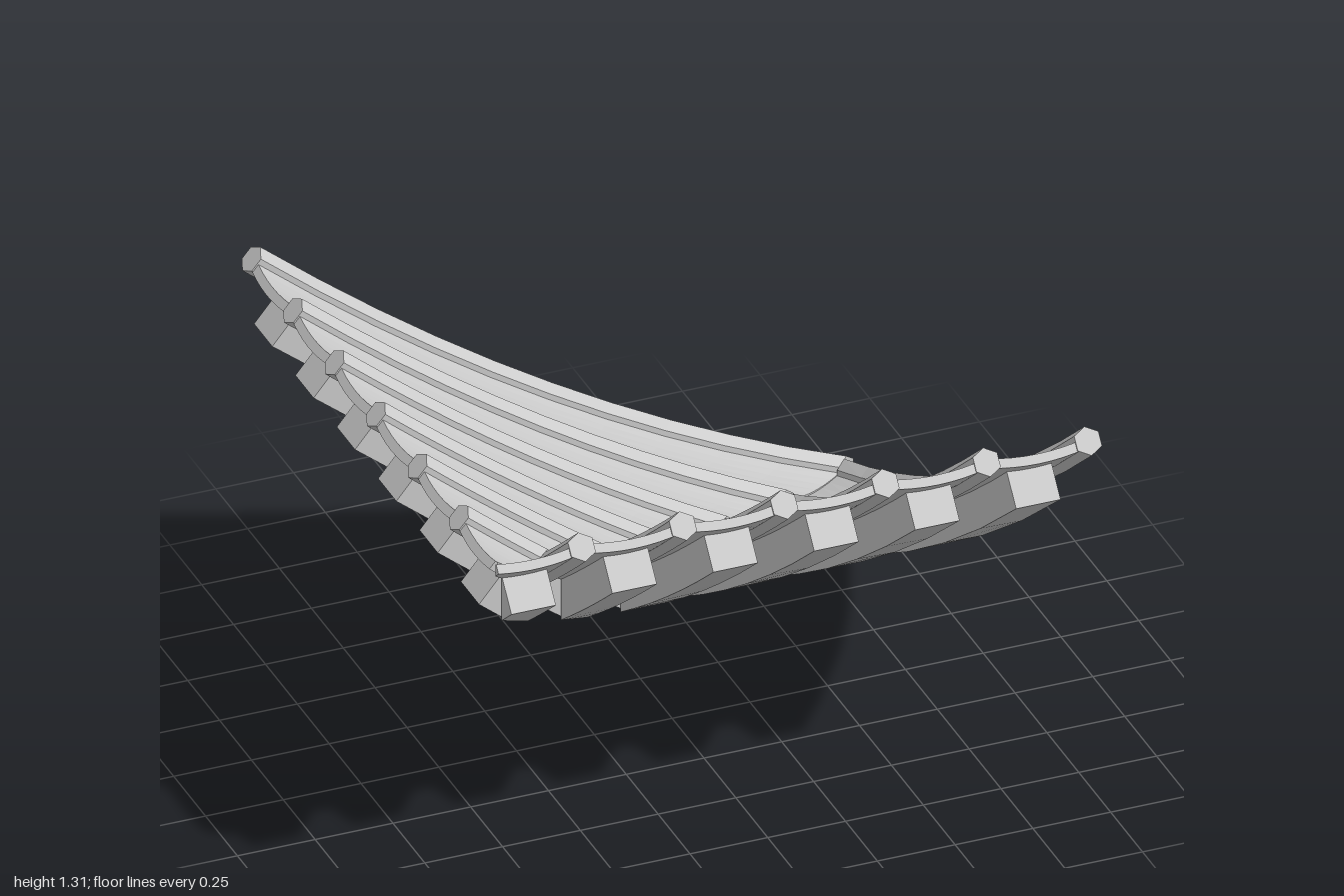
import * as THREE from 'three';

const PITCH = 0.3255, LAST_RIB = 0.946, RIBS = 6;

// Roof slope: height and upward normal at distance s from the corner
const height = s => 0.106 + 0.49 * (s + 0.97) + 0.1222 * (s + 0.97) * (s - 0.03);
function normal(s) {
  const slope = 0.49 + 0.1222 * (2 * s + 0.94);
  const len = Math.hypot(slope, 1);
  return { z: -slope / len, y: 1 / len };
}

// Sweeps a section of [x, offset from slope] points down the slope, mitred at the valley z = -x.
// Section order: upper side left to right, then lower side right to left.
function sweep(section, eave, steps, mirrored) {
  const rings = [];
  const ends = section.map(([x, o]) => {
    let s = -x;
    for (let k = 0; k < 8; k++) s = -x - o * normal(s).z;
    return Math.min(s, eave - 0.001);
  });
  for (let j = 0; j <= steps; j++) {
    rings.push(section.map(([x, o], i) => {
      const s = eave + (ends[i] - eave) * j / steps;
      const n = normal(s), y = height(s) + o * n.y, z = s + o * n.z;
      return mirrored ? [-z + 0.012, y, -x - 0.012] : [x, y, z];
    }));
  }
  const pos = [];
  const tri = (a, b, c) => pos.push(...a, ...(mirrored ? c : b), ...(mirrored ? b : c));
  const quad = (a, b, c, d) => { tri(a, b, c); tri(a, c, d); };
  const m = section.length;
  for (let j = 0; j < steps; j++) {
    for (let i = 0; i < m; i++) {
      const k = (i + 1) % m;
      quad(rings[j][i], rings[j][k], rings[j + 1][k], rings[j + 1][i]);
    }
  }
  // End caps
  const first = rings[0], last = rings[steps];
  for (let i = 0; i < m / 2 - 1; i++) {
    quad(first[i], first[m - 1 - i], first[m - 2 - i], first[i + 1]);
    quad(last[i], last[i + 1], last[m - 2 - i], last[m - 1 - i]);
  }
  const geo = new THREE.BufferGeometry();
  geo.setAttribute('position', new THREE.Float32BufferAttribute(pos, 3));
  geo.computeVertexNormals();
  return geo;
}

// Six-sided rib with a pointed top
function ribSection(x) {
  const r = 0.045, h = r * 0.866;
  return [[x - h, r / 2], [x, r], [x + h, r / 2], [x + h, -r / 2], [x, -r], [x - h, -r / 2]];
}

// Sagging tile sheet between two ribs
function sheetSection(x0) {
  const top = [], from = Math.max(x0, -0.955), to = x0 + PITCH, cols = 8;
  for (let i = 0; i <= cols; i++) {
    const x = from + (to - from) * i / cols;
    const t = 2 * (x - x0) / PITCH - 1;
    top.push([x, -0.006 + 0.018 * t * t]);
  }
  return [...top, ...top.map(([x, o]) => [x, o - 0.03]).reverse()];
}

// Rectangular rafter under the sheet
function rafterSection(x) {
  const w = 0.0715;
  return [[x - w, -0.025], [x + w, -0.025], [x + w, -0.145], [x - w, -0.145]];
}

export function createModel() {
  const model = new THREE.Group();
  model.name = 'valleyRoofCorner';
  const material = new THREE.MeshStandardMaterial({ color: 0xcccccc, flatShading: true });

  for (const mirrored of [false, true]) {
    const half = new THREE.Group();
    half.name = mirrored ? 'rightRoofSlope' : 'frontRoofSlope';
    const add = (name, geo) => {
      const mesh = new THREE.Mesh(geo, material);
      mesh.name = name;
      half.add(mesh);
    };
    for (let i = 0; i < RIBS; i++) {
      const x = LAST_RIB - i * PITCH;
      add('rib', sweep(ribSection(x), 0.967, 10, mirrored));
      add('tileSheet', sweep(sheetSection(x - PITCH), 0.963, 10, mirrored));
      add('rafter', sweep(rafterSection(0.7725 - i * 0.3245), 0.908, 6, mirrored));
    }
    model.add(half);
  }

  // Stand on the ground, centred
  const box = new THREE.Box3().setFromObject(model);
  const c = box.getCenter(new THREE.Vector3());
  for (const half of model.children) half.position.set(-c.x, -box.min.y, -c.z);
  return model;
}
